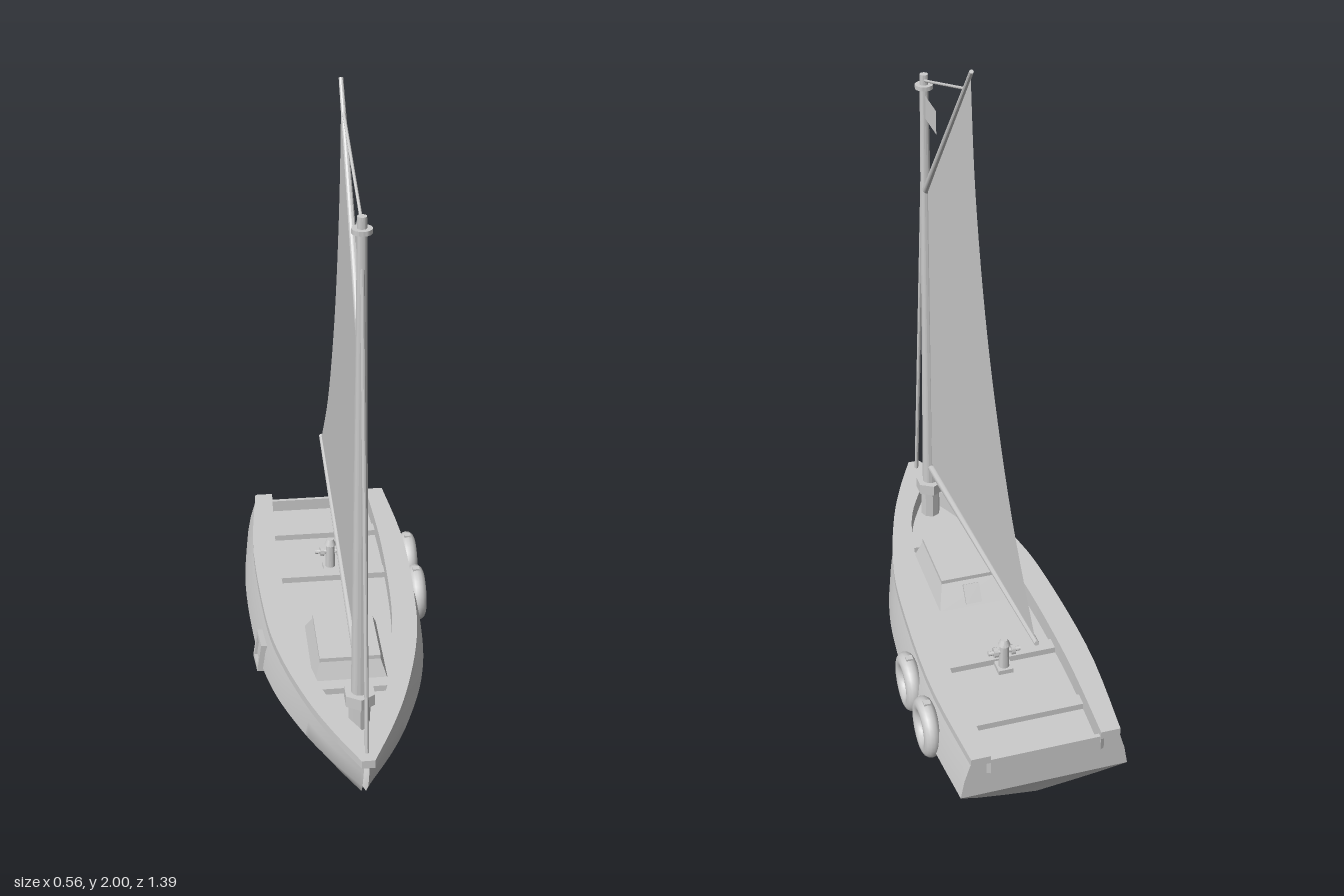
import * as THREE from 'three';
import { toCreasedNormals } from 'three/addons/utils/BufferGeometryUtils.js';

const V = (x, y, z) => new THREE.Vector3(x, y, z);

export function createModel() {
  const root = new THREE.Group();
  root.name = 'sailingBoat';
  const boat = new THREE.Group();
  boat.name = 'boat';
  boat.position.x = -0.01; // the fenders on one side shift the centreline
  root.add(boat);
  const mat = new THREE.MeshStandardMaterial({ color: 0xcccccc });
  const thin = new THREE.MeshStandardMaterial({ color: 0xcccccc, side: THREE.DoubleSide });

  function add(name, geo, pos = [0, 0, 0], material = mat, parent = boat) {
    const m = new THREE.Mesh(geo, material);
    m.name = name;
    m.position.set(...pos);
    parent.add(m);
    return m;
  }
  const box = (name, w, h, d, pos, parent) => add(name, new THREE.BoxGeometry(w, h, d), pos, mat, parent);
  const crease = (geo, angle = 0.6) => toCreasedNormals(geo, angle);
  const post = (name, rTop, rBase, y0, y1, z, sides = 16) =>
    add(name, crease(new THREE.CylinderGeometry(rTop, rBase, y1 - y0, sides)), [0, (y0 + y1) / 2, z]);
  // round bar between two points
  function rod(name, a, b, rA, rB = rA, sides = 10) {
    const dir = b.clone().sub(a);
    const m = add(name, crease(new THREE.CylinderGeometry(rB, rA, dir.length(), sides), 0.8));
    m.position.copy(a).addScaledVector(dir, 0.5);
    m.quaternion.setFromUnitVectors(V(0, 1, 0), dir.normalize());
    return m;
  }
  // horizontal plate from a plan drawn in x and z
  function plate(name, pts, yTop, thick) {
    const g = new THREE.ExtrudeGeometry(new THREE.Shape(pts), { depth: thick, bevelEnabled: false });
    g.rotateX(Math.PI / 2);
    return add(name, crease(g), [0, yTop, 0]);
  }
  // smooth half-breadth curve sampled as plan points
  const plan = (pts, n = 28) =>
    new THREE.SplineCurve(pts.map(([z, x]) => new THREE.Vector2(x, z))).getPoints(n);
  const mirror = (pts) => pts.map((p) => new THREE.Vector2(-p.x, p.y)).reverse();

  // Hull: rows from rail to keel, [half width, y, stern z, bow z]
  const rows = [
    [0.236, 0.33, -0.695, 0.66], [0.256, 0.27, -0.695, 0.648], [0.268, 0.21, -0.695, 0.627],
    [0.205, 0.152, -0.662, 0.59], [0.11, 0.112, -0.643, 0.53], [0, 0.08, -0.63, 0.45],
  ];
  const section = [...rows.map((r) => [1, r]), ...rows.slice(0, -1).reverse().map((r) => [-1, r])];
  const fullness = new THREE.SplineCurve(
    [[0, 0.9], [0.24, 1], [0.5, 0.95], [0.66, 0.82], [0.8, 0.58], [0.9, 0.34], [1, 0.03]]
      .map(([u, f]) => new THREE.Vector2(u, f)));
  const N = 40, S = section.length, pos = [], idx = [];
  for (let i = 0; i <= N; i++) {
    const { x: u, y: f } = fullness.getPoint(i / N);
    for (const [side, [w, y, z0, z1]] of section) {
      const low = Math.max(0, (0.21 - y) / 0.13);
      const rise = low * (0.025 * Math.pow(1 - u, 8) + 0.02 * Math.pow(u, 6));
      pos.push(side * w * f, y + rise, z0 + (z1 - z0) * u);
    }
  }
  for (let i = 0; i < N; i++)
    for (let j = 0; j < S - 1; j++) {
      const a = i * S + j, b = a + S;
      idx.push(a, b, a + 1, b, b + 1, a + 1);
    }
  for (let j = 0; j < (S - 1) / 2; j++) { // transom strips
    const k = S - 1 - j;
    idx.push(j, j + 1, k);
    if (j + 1 < k - 1) idx.push(j + 1, k - 1, k);
  }
  const hull = new THREE.BufferGeometry();
  hull.setAttribute('position', new THREE.Float32BufferAttribute(pos, 3));
  hull.setIndex(idx);
  add('hull', crease(hull), [0, 0, 0], thin);

  // Gunwale, inner wall and floor share the inner outline
  const outer = plan([[-0.7, 0.213], [-0.37, 0.24], [0, 0.227], [0.2, 0.198], [0.4, 0.143], [0.55, 0.085], [0.69, 0.018]]);
  const inner = plan([[-0.7, 0.157], [-0.37, 0.167], [0, 0.153], [0.28, 0.112], [0.42, 0.075], [0.56, 0.003]]);
  const wall = plan([[-0.69, 0.18], [-0.37, 0.19], [0, 0.176], [0.28, 0.135], [0.42, 0.095], [0.59, 0.005]]);
  const ring = (out, inn) => [...out, ...mirror(out), ...mirror(inn).reverse(), ...[...inn].reverse()];
  plate('gunwale', ring(outer, inner), 0.35, 0.025);
  plate('innerWall', ring(wall, inner), 0.326, 0.04);
  plate('floor', [...wall, ...mirror(wall)], 0.292, 0.01);
  box('transomRail', 0.34, 0.045, 0.012, [0, 0.308, -0.689]);

  // Thwarts
  for (const [z, w] of [[-0.52, 0.33], [-0.272, 0.33], [0.302, 0.225]])
    box('thwart', w, 0.022, 0.04, [0, 0.3, z]);

  // Hatch with sloping sides, lid and small rear door
  const hatch = new THREE.BoxGeometry(0.217, 0.065, 0.295);
  const hp = hatch.attributes.position;
  for (let i = 0; i < hp.count; i++)
    if (hp.getY(i) > 0) {
      hp.setX(i, Math.sign(hp.getX(i)) * 0.088);
      hp.setZ(i, hp.getZ(i) > 0 ? 0.125 : -0.095);
    }
  hatch.computeVertexNormals();
  add('hatch', hatch, [0, 0.322, 0.127]);
  box('hatchLid', 0.176, 0.014, 0.22, [0, 0.36, 0.142]);
  const door = box('hatchDoor', 0.05, 0.06, 0.012, [0, 0.322, 0.003]);
  door.rotation.x = 0.62;

  // Mooring bitt
  box('bittBase', 0.045, 0.015, 0.045, [0, 0.299, -0.317]);
  post('bittPost', 0.013, 0.016, 0.295, 0.39, -0.317);
  post('bittCap', 0.01, 0.018, 0.385, 0.404, -0.317);
  rod('bittBar', V(-0.048, 0.36, -0.317), V(0.048, 0.36, -0.317), 0.007);
  for (const s of [-1, 1]) rod('bittKnob', V(s * 0.02, 0.36, -0.317), V(s * 0.032, 0.36, -0.317), 0.015);

  // Mast with step and cap
  const mz = 0.48;
  post('mastStep', 0.03, 0.03, 0.29, 0.39, mz, 8);
  post('mastCollar', 0.046, 0.046, 0.387, 0.422, mz, 6);
  post('mast', 0.012, 0.024, 0.4, 1.81, mz);
  post('mastCap', 0.026, 0.026, 1.768, 1.78, mz);

  // Spars and rigging
  rod('boom', V(0, 0.478, 0.465), V(0, 0.622, -0.597), 0.012, 0.007);
  rod('gaff', V(0, 1.458, 0.47), V(0, 1.998, 0.014), 0.012, 0.006);
  rod('forestay', V(0, 0.345, 0.655), V(0, 1.68, 0.488), 0.006);
  rod('peakLine', V(0, 1.79, 0.48), V(0, 1.93, 0.07), 0.004);

  // Sail and pennant, drawn with shape x as z
  const leech = new THREE.SplineCurve(
    [[-0.578, 0.63], [-0.375, 0.865], [-0.217, 1.13], [-0.105, 1.39], [-0.02, 1.69], [0.02, 1.975]]
      .map((p) => new THREE.Vector2(...p))).getPoints(24);
  const sheet = (name, pts) =>
    add(name, new THREE.ShapeGeometry(new THREE.Shape(pts)).rotateY(-Math.PI / 2), [0, 0, 0], thin);
  sheet('sail', [new THREE.Vector2(0.453, 1.462), new THREE.Vector2(0.453, 0.5), ...leech]);
  sheet('pennant', [[0.48, 1.68], [0.355, 1.68], [0.355, 1.75], [0.48, 1.75]].map((p) => new THREE.Vector2(...p)));

  // Skeg under the stern, tapering downwards
  const skegShape = new THREE.Shape(
    [[-0.37, 0.1], [-0.435, 0.01], [-0.443, 0], [-0.46, 0.005], [-0.465, 0.1]].map((p) => new THREE.Vector2(...p)));
  const skeg = new THREE.ExtrudeGeometry(skegShape, { depth: 0.03, bevelEnabled: false });
  skeg.translate(0, 0, -0.015).rotateY(-Math.PI / 2);
  const sp = skeg.attributes.position;
  for (let i = 0; i < sp.count; i++) sp.setX(i, sp.getX(i) * (0.4 + 6 * sp.getY(i)));
  skeg.computeVertexNormals();
  add('skeg', skeg);

  // Ring fenders with hanging straps
  for (const z of [-0.235, -0.43]) {
    add('fender', new THREE.TorusGeometry(0.064, 0.024, 14, 32).rotateY(Math.PI / 2), [0.264, 0.24, z]);
    box('fenderStrap', 0.02, 0.012, 0.018, [0.262, 0.326, z]);
  }

  // Side lamp housing: open frame around a lamp
  const lamp = new THREE.Group();
  lamp.name = 'sideLamp';
  lamp.position.set(-0.238, 0.245, 0.028);
  lamp.rotation.set(0, 0.08, -0.15);
  boat.add(lamp);
  for (const s of [-1, 1]) {
    box('lampFrameEdge', 0.036, 0.012, 0.085, [0, s * 0.04, 0], lamp);
    box('lampFrameSide', 0.036, 0.08, 0.014, [0, 0, s * 0.0355], lamp);
  }
  box('lampBack', 0.012, 0.08, 0.08, [0.008, 0, 0], lamp);
  box('lampLens', 0.018, 0.04, 0.03, [-0.004, 0, 0], lamp);

  return root;
}
